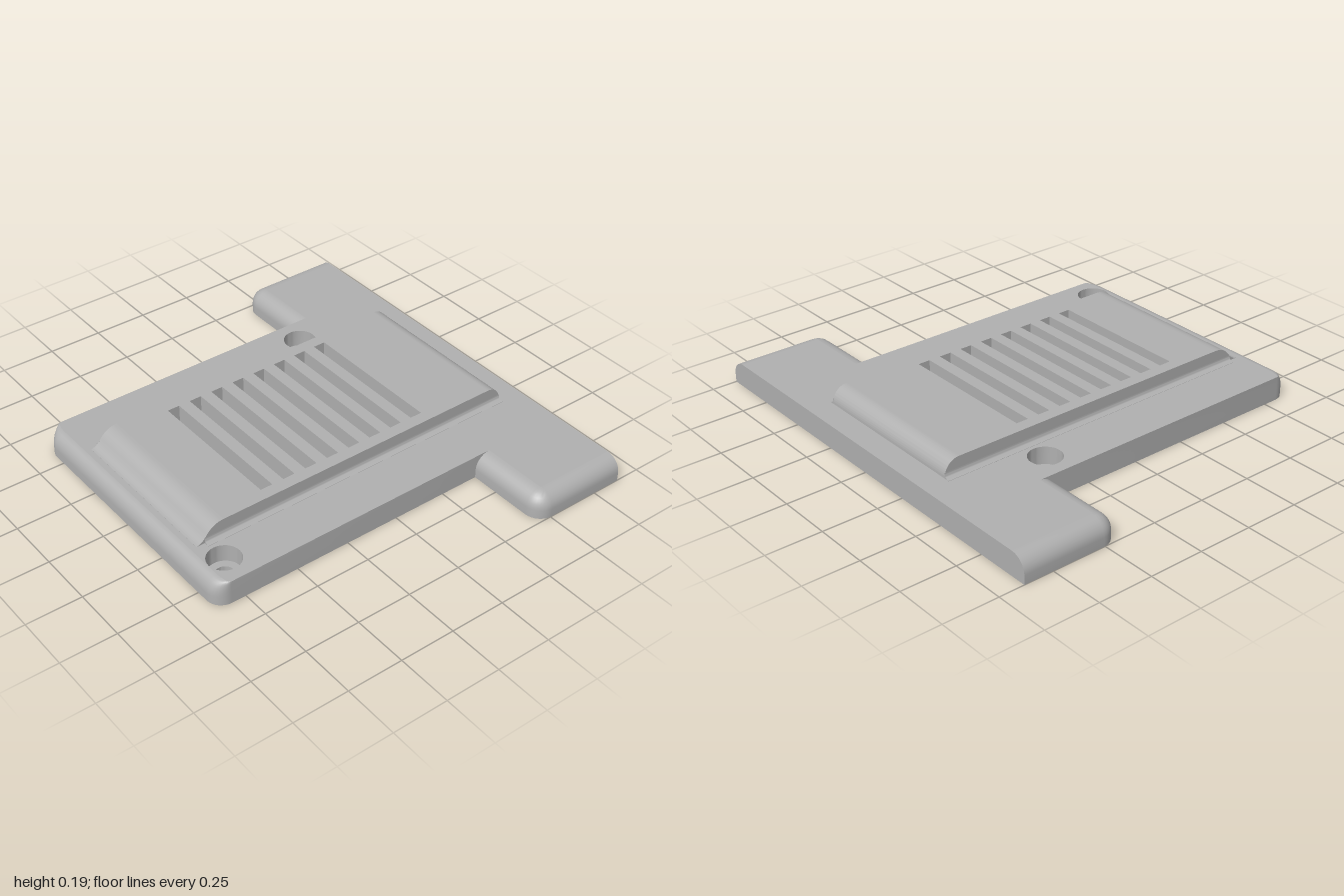
import * as THREE from 'three';
import { toCreasedNormals } from 'three/addons/utils/BufferGeometryUtils.js';

const TOP = 0.11, BUMP = 0.185, FILLET = 0.07, STEPS = 8;
const screws = [[0.37, -0.5], [-0.76, 0.5]]; // x, z
const vent = { x0: -0.68, x1: 0.705, z: 0.385 };

// T-shaped plan outline, counter-clockwise, with the rounded edges pulled in by d
function outline(d) {
  const half = [];
  const corner = (cx, cy, rx, ry) => {
    for (let i = 0; i <= STEPS; i++) {
      const a = Math.PI / 2 * (1 + i / STEPS);
      half.push(new THREE.Vector2(cx + rx * Math.cos(a), cy + ry * Math.sin(a)));
    }
  };
  half.push(new THREE.Vector2(0.885, 1 - d));
  corner(0.505, 0.925, 0.075 - d, 0.075 - d);
  half.push(new THREE.Vector2(0.43 + d, 0.625));
  corner(-0.815, 0.555, 0.07 - d * 0.71, 0.07);
  const mirrored = half.map(p => new THREE.Vector2(p.x, -p.y)).reverse();
  return [...half, ...mirrored];
}

function rectPath(x0, x1, z) {
  return new THREE.Path([[x0, -z], [x0, z], [x1, z], [x1, -z]].map(p => new THREE.Vector2(...p)));
}

// Flat face of the plate with the vent opening and screw holes
function face(d, holeRadius, up) {
  const shape = new THREE.Shape(outline(d));
  shape.holes.push(rectPath(vent.x0, vent.x1, vent.z));
  for (const [x, z] of screws) {
    shape.holes.push(new THREE.Path().absarc(x, -up * z, holeRadius, 0, Math.PI * 2, true));
  }
  return new THREE.ShapeGeometry(shape, 16).rotateX(-up * Math.PI / 2);
}

// Side walls that curl over into the rounded top edge
function walls() {
  const levels = [[0, 0]];
  for (let i = 0; i <= STEPS; i++) {
    const a = Math.PI / 2 * i / STEPS;
    levels.push([TOP - FILLET + FILLET * Math.sin(a), FILLET * (1 - Math.cos(a))]);
  }
  const rings = levels.map(([y, d]) => outline(d).map(p => [p.x, y, -p.y]));
  const pos = [];
  for (let k = 0; k < rings.length - 1; k++) {
    const a = rings[k], b = rings[k + 1], n = a.length;
    for (let i = 0; i < n; i++) {
      const j = (i + 1) % n;
      pos.push(...a[i], ...a[j], ...b[j], ...a[i], ...b[j], ...b[i]);
    }
  }
  const g = new THREE.BufferGeometry();
  g.setAttribute('position', new THREE.Float32BufferAttribute(pos, 3));
  return toCreasedNormals(g, 0.5);
}

function extrude(shape, depth) {
  return toCreasedNormals(
    new THREE.ExtrudeGeometry(shape, { depth, bevelEnabled: false, curveSegments: 12 }), 0.5);
}

export function createModel() {
  const group = new THREE.Group();
  group.name = 'ventedCover';
  const grey = new THREE.MeshStandardMaterial({ color: 0xb0b0b0, side: THREE.DoubleSide });
  grey.name = 'grey';
  const add = (name, geometry) => {
    const mesh = new THREE.Mesh(geometry, grey);
    mesh.name = name;
    group.add(mesh);
    return mesh;
  };

  // Base plate with cross wing
  add('plateWalls', walls());
  add('plateTop', face(FILLET, 0.073, 1).translate(0, TOP, 0));
  add('plateBottom', face(0, 0.04, -1));

  // Counterbored screw holes
  const bore = [[0.04, 0], [0.04, 0.03], [0.073, 0.03], [0.073, TOP]].map(p => new THREE.Vector2(...p));
  for (const [x, z] of screws) {
    add('screwHole', toCreasedNormals(new THREE.LatheGeometry(bore, 48), 0.5)).position.set(x, 0, z);
  }

  // Slotted centre block
  const block = new THREE.Shape(rectPath(vent.x0, vent.x1, vent.z).getPoints());
  for (let i = 0; i < 8; i++) {
    const x = -0.46 + i * 0.1113;
    block.holes.push(rectPath(x, x + 0.057, 0.33));
  }
  add('ventBlock', extrude(block, BUMP).rotateX(-Math.PI / 2));

  // Curved ends of the raised block
  const left = new THREE.Shape();
  left.moveTo(vent.x0, 0.1);
  left.lineTo(vent.x0, BUMP);
  left.quadraticCurveTo(-0.73, BUMP, -0.76, 0.145);
  left.quadraticCurveTo(-0.785, 0.112, -0.81, 0.1105);
  left.lineTo(-0.81, 0.1);
  add('sweptEnd', extrude(left, 2 * vent.z).translate(0, 0, -vent.z));

  const right = new THREE.Shape();
  right.moveTo(vent.x1, 0.1);
  right.lineTo(0.775, 0.1);
  right.lineTo(0.775, 0.115);
  right.absarc(0.705, 0.115, 0.07, 0, Math.PI / 2, false);
  add('roundedEnd', extrude(right, 2 * vent.z).translate(0, 0, -vent.z));

  // Concave fillets along the foot of the raised block
  for (const s of [-1, 1]) {
    const foot = new THREE.Shape();
    foot.moveTo(s * 0.384, 0.1);
    foot.lineTo(s * 0.41, 0.1);
    foot.lineTo(s * 0.41, 0.111);
    foot.quadraticCurveTo(s * 0.385, 0.111, s * 0.385, 0.135);
    foot.lineTo(s * 0.384, 0.135);
    add('footFillet', extrude(foot, 1.545).rotateY(Math.PI / 2).translate(-0.77, 0, 0));
  }
  return group;
}
